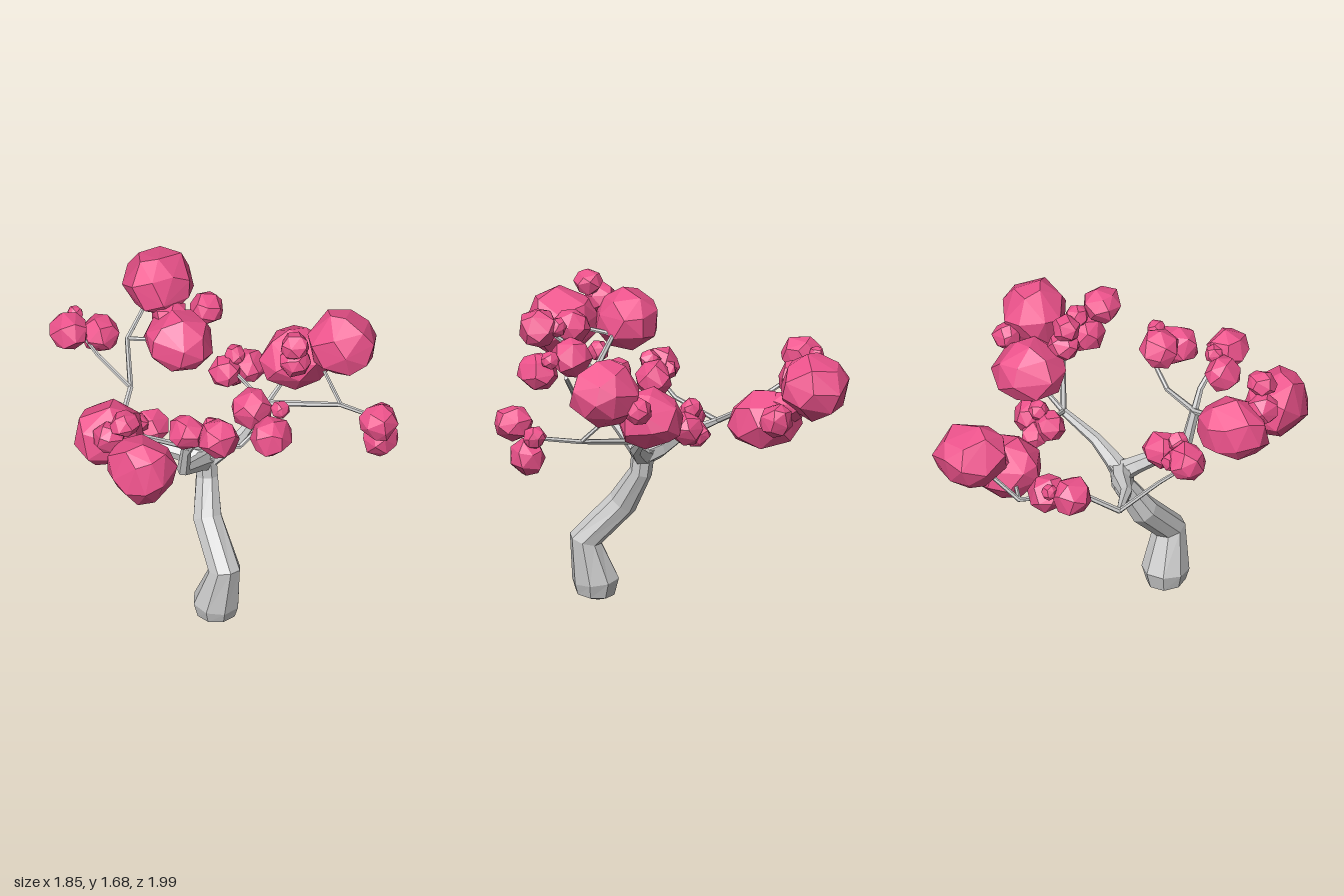
import * as THREE from 'three';
import { ConvexGeometry } from 'three/addons/geometries/ConvexGeometry.js';

const bark = new THREE.MeshStandardMaterial({ color: 0xcccccc, flatShading: true });
const leaf = new THREE.MeshStandardMaterial({ color: 0xec528b, flatShading: true });

function seeded(seed) {
  let s = seed * 7919 + 17;
  return () => (s = (s * 16807) % 2147483647) / 2147483647;
}

// Faceted tapering limb; each point is [x, y, z, radius]
function limb(name, points, sides = 6) {
  const pts = points.map((p) => new THREE.Vector3(p[0], p[1], p[2]));
  const pos = [], index = [];
  const last = pts.length - 1;
  let normal = new THREE.Vector3(0.31, 0.2, 0.93);
  pts.forEach((p, i) => {
    const dir = new THREE.Vector3();
    if (i > 0) dir.add(p.clone().sub(pts[i - 1]).normalize());
    if (i < last) dir.add(pts[i + 1].clone().sub(p).normalize());
    dir.normalize();
    normal = normal.clone().addScaledVector(dir, -normal.dot(dir)).normalize();
    const side = dir.clone().cross(normal);
    for (let k = 0; k < sides; k++) {
      const a = (k / sides) * Math.PI * 2;
      const v = p.clone()
        .addScaledVector(normal, Math.cos(a) * points[i][3])
        .addScaledVector(side, Math.sin(a) * points[i][3]);
      pos.push(v.x, v.y, v.z);
    }
  });
  for (let i = 0; i < last; i++) {
    for (let k = 0; k < sides; k++) {
      const a = i * sides + k, b = i * sides + ((k + 1) % sides);
      index.push(a, b, b + sides, a, b + sides, a + sides);
    }
  }
  // end caps
  for (let k = 1; k < sides - 1; k++) {
    index.push(0, k + 1, k);
    index.push(last * sides, last * sides + k, last * sides + k + 1);
  }
  const geo = new THREE.BufferGeometry();
  geo.setAttribute('position', new THREE.Float32BufferAttribute(pos, 3));
  geo.setIndex(index);
  geo.computeVertexNormals();
  const mesh = new THREE.Mesh(geo, bark);
  mesh.name = name;
  return mesh;
}

// Irregular faceted ball: hull of jittered points spread over an ellipsoid
function foliageBall([x, y, z, rx, ry = rx, rz = rx], seed) {
  const rand = seeded(seed);
  const count = rx > 0.13 ? 26 : 20;
  const spin = rand() * 6.28;
  const tilt = new THREE.Euler(rand() * 3, rand() * 3, rand() * 3);
  const size = new THREE.Vector3(rx, ry, rz);
  const pts = [];
  for (let i = 0; i < count; i++) {
    const h = 1 - (2 * (i + 0.5)) / count + (rand() - 0.5) * 0.06;
    const a = i * 2.39996 + spin + (rand() - 0.5) * 0.5;
    const w = Math.sqrt(Math.max(0, 1 - h * h));
    pts.push(new THREE.Vector3(w * Math.cos(a), h, w * Math.sin(a))
      .multiplyScalar(0.98 + rand() * 0.1).applyEuler(tilt).multiply(size));
  }
  const mesh = new THREE.Mesh(new ConvexGeometry(pts), leaf);
  mesh.position.set(x, y, z);
  mesh.name = 'foliageBall';
  return mesh;
}

const limbs = {
  leftBough: [[0.05, 0.855, 0.03, 0.063], [0.13, 0.9, 0.075, 0.05], [0.25, 0.97, 0.125, 0.036], [0.45, 1.09, 0.14, 0.023]],
  rightBough: [[0.07, 0.855, 0.03, 0.063], [-0.02, 0.91, 0.07, 0.05], [-0.27, 1.05, 0.17, 0.036], [-0.3, 1.25, 0.22, 0.027]],
  backBough: [[0.07, 0.86, 0.06, 0.063], [0.02, 0.88, -0.06, 0.053], [-0.07, 0.915, -0.2, 0.036], [-0.13, 0.96, -0.43, 0.017]],
  longFrontBranch: [[0.45, 1.09, 0.14, 0.019], [0.62, 1.18, 0.53, 0.014], [0.62, 1.23, 0.82, 0.012]],
  frontTwig: [[0.62, 1.18, 0.53, 0.012], [0.65, 1.32, 0.38, 0.011]],
  leftTwig: [[0.45, 1.09, 0.14, 0.016], [0.44, 1.14, 0.02, 0.012], [0.43, 1.2, -0.08, 0.01]],
  leftCrownTwig: [[0.45, 1.09, 0.14, 0.016], [0.6, 1.22, 0.16, 0.012]],
  rightCrownBranch: [[-0.3, 1.25, 0.22, 0.018], [-0.52, 1.37, 0.06, 0.014], [-0.6, 1.47, 0.02, 0.012]],
  rightCrownTwig: [[-0.52, 1.37, 0.06, 0.013], [-0.66, 1.38, 0.22, 0.011]],
  uprightBranch: [[-0.29, 1.2, 0.21, 0.024], [-0.3, 1.35, 0.3, 0.018], [-0.34, 1.47, 0.45, 0.013]],
  middleBranch: [[-0.3, 1.25, 0.22, 0.018], [-0.06, 1.21, 0.4, 0.014], [0.08, 1.36, 0.48, 0.012]],
  backRightBranch: [[-0.13, 0.96, -0.43, 0.014], [-0.28, 1.06, -0.23, 0.012], [-0.4, 1.15, -0.16, 0.01]],
  backLeftBranch: [[-0.13, 0.96, -0.43, 0.017], [0.06, 1.08, -0.52, 0.016], [0.32, 1.14, -0.78, 0.014], [0.52, 1.3, -0.8, 0.012]],
  backTwig: [[0.06, 1.08, -0.52, 0.013], [0.04, 1.2, -0.74, 0.012], [0.03, 1.29, -0.85, 0.01]],
  backLeftTwig: [[0.32, 1.14, -0.78, 0.012], [0.42, 1.16, -0.62, 0.011]],
};

// Balls as [x, y, z, radius] or [x, y, z, rx, ry, rz], grouped by the limb they crown
const clusters = {
  leftFoliage: [[0.743, 1.49, 0.428, 0.188, 0.185, 0.192], [0.66, 1.3, 0.16, 0.203, 0.17, 0.19], [0.84, 1.41, 0.26, 0.078], [0.5, 1.53, 0.3, 0.08], [0.51, 1.42, 0.29, 0.09]],
  leftFrontFoliage: [[0.535, 1.29, 0.89, 0.108, 0.1, 0.112], [0.61, 1.115, 0.83, 0.103, 0.108, 0.1], [0.65, 1.24, 0.8, 0.065]],
  leftSmallFoliage: [[0.41, 1.19, -0.14, 0.09], [0.55, 1.18, -0.08, 0.095], [0.48, 1.27, -0.13, 0.06], [0.49, 1.12, -0.16, 0.075]],
  rightFoliage: [[-0.645, 1.41, -0.05, 0.207, 0.175, 0.178], [-0.755, 1.39, 0.3, 0.177, 0.19, 0.198], [-0.73, 1.61, 0.15, 0.085, 0.07, 0.08], [-0.77, 1.5, 0.07, 0.09], [-0.55, 1.27, 0.14, 0.06]],
  frontRightFoliage: [[-0.37, 1.5, 0.525, 0.122, 0.11, 0.11], [-0.42, 1.47, 0.33, 0.1, 0.1, 0.11], [-0.33, 1.51, 0.43, 0.055]],
  frontMiddleFoliage: [[-0.035, 1.37, 0.61, 0.122, 0.108, 0.115], [0.0, 1.45, 0.43, 0.114], [0.08, 1.47, 0.57, 0.052]],
  backRightFoliage: [[-0.42, 1.21, -0.175, 0.112, 0.108, 0.108], [-0.24, 1.19, -0.1, 0.11, 0.108, 0.103], [-0.34, 1.27, -0.1, 0.06], [-0.34, 1.2, -0.2, 0.055]],
  backFoliage: [[-0.04, 1.34, -0.885, 0.11, 0.11, 0.117], [0.135, 1.265, -0.815, 0.108, 0.105, 0.114], [0.07, 1.37, -0.94, 0.045]],
  backLeftFoliage: [[0.595, 1.375, -0.8, 0.206, 0.178, 0.192], [0.475, 1.165, -0.545, 0.185, 0.168, 0.2], [0.53, 1.25, -0.66, 0.1], [0.715, 1.24, -0.55, 0.095]],
};

export function createModel() {
  const tree = new THREE.Group();
  tree.name = 'tree';

  // leaning trunk with a swollen, rounded foot
  tree.add(limb('trunk', [
    [-0.11, 0.005, 0.27, 0.05], [-0.108, 0.03, 0.268, 0.11], [-0.107, 0.11, 0.265, 0.132], [-0.103, 0.35, 0.322, 0.092],
    [-0.03, 0.57, 0.13, 0.084], [0.055, 0.77, 0.05, 0.064], [0.06, 0.905, 0.035, 0.064],
  ], 8));

  for (const [name, points] of Object.entries(limbs)) tree.add(limb(name, points));

  let seed = 1;
  for (const [name, balls] of Object.entries(clusters)) {
    const cluster = new THREE.Group();
    cluster.name = name;
    for (const ball of balls) cluster.add(foliageBall(ball, seed++));
    tree.add(cluster);
  }
  return tree;
}
